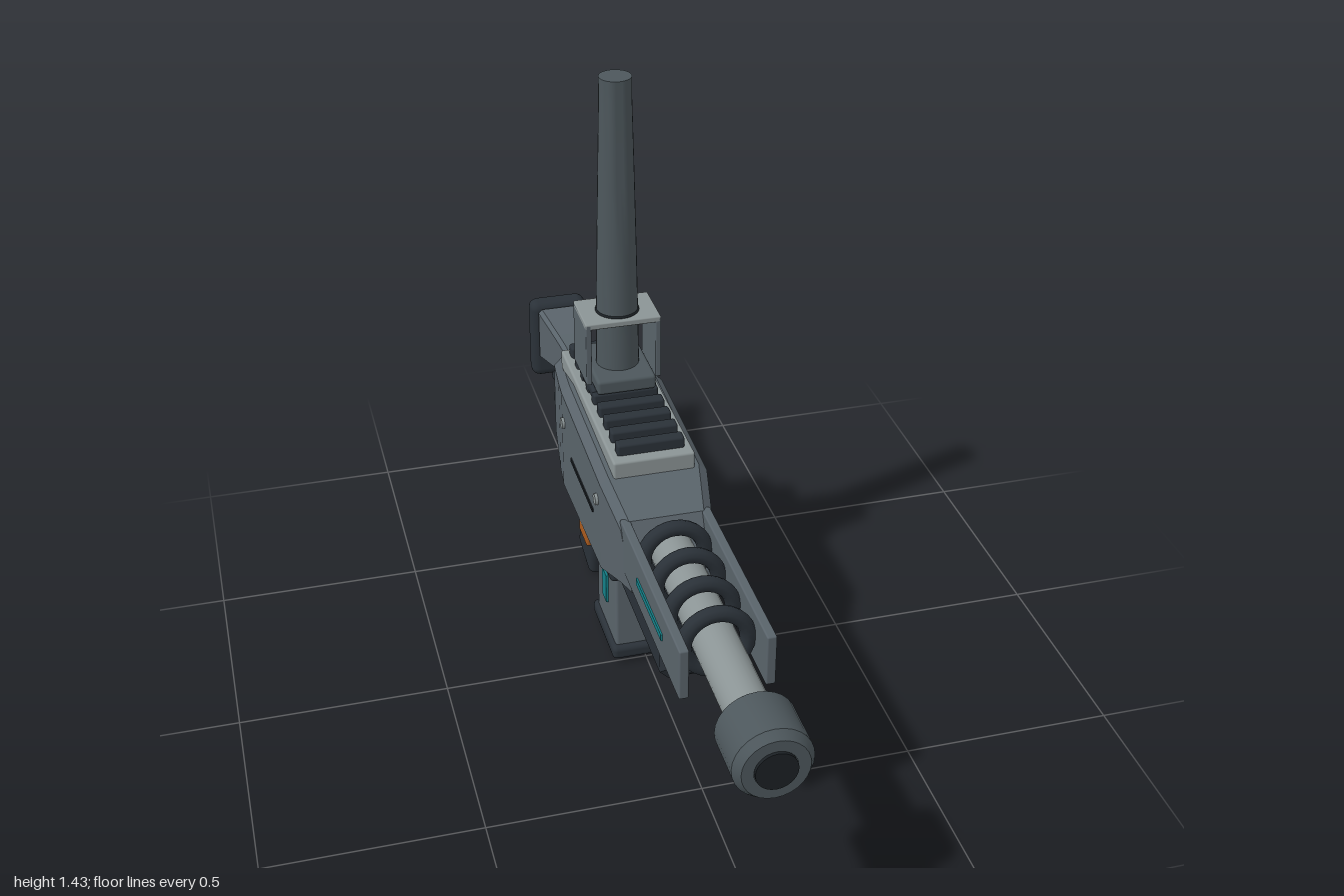
import * as THREE from 'three';
import { toCreasedNormals } from 'three/addons/utils/BufferGeometryUtils.js';
import { RoundedBoxGeometry } from 'three/addons/geometries/RoundedBoxGeometry.js';

const mat = (name, color) => new THREE.MeshStandardMaterial({ name, color });

export function createModel() {
  const root = new THREE.Group();
  root.name = 'rifle';
  const M = {
    body: mat('gunmetal', 0x59636a),
    tube: mat('blued steel', 0x4d575c),
    light: mat('light steel', 0x8b9495),
    dark: mat('dark polymer', 0x2a3138),
    bore: mat('bore black', 0x1b2024),
    teal: mat('teal light', 0x148088),
    orange: mat('orange switch', 0xa85a1e),
  };

  const add = (name, geo, m, x = 0, y = 0, z = 0, rx = 0) => {
    const mesh = new THREE.Mesh(geo, m);
    mesh.name = name;
    mesh.position.set(x, y, z);
    mesh.rotation.x = rx;
    root.add(mesh);
    return mesh;
  };
  // Box given by its limits on each axis
  const box = (name, m, [x0, x1], [y0, y1], [z0, z1], r = 0) => {
    const s = [x1 - x0, y1 - y0, z1 - z0];
    const g = r ? new RoundedBoxGeometry(...s, 2, r) : new THREE.BoxGeometry(...s);
    return add(name, g, m, (x0 + x1) / 2, (y0 + y1) / 2, (z0 + z1) / 2);
  };
  const lathe = (pts, seg = 28) => toCreasedNormals(
    new THREE.LatheGeometry(pts.map(([r, y]) => new THREE.Vector2(r, y)), seg), 0.6);
  // Cylinder lying across the model
  const pin = (name, m, r, len, x, y, z) => {
    const p = add(name, new THREE.CylinderGeometry(r, r, len, 14), m, x, y, z);
    p.rotation.z = Math.PI / 2;
    return p;
  };
  // Chamfered cross-sections [z, bottom, top, half width], listed front to back
  const loft = (sections, c) => {
    const rings = sections.map(([z, b, t, w]) => {
      const k = Math.min(c, (t - b) * 0.3);
      return [[w, b + k], [w, t - k], [w - k, t], [k - w, t], [-w, t - k], [-w, b + k], [k - w, b], [w - k, b]]
        .map(([x, y]) => [x, y, z]);
    });
    const v = [];
    const tri = (...p) => p.forEach((q) => v.push(...q));
    for (let s = 0; s < rings.length - 1; s++) {
      for (let i = 0; i < 8; i++) {
        const j = (i + 1) % 8, A = rings[s], B = rings[s + 1];
        tri(A[i], B[i], A[j]);
        tri(A[j], B[i], B[j]);
      }
    }
    const F = rings[0], E = rings[rings.length - 1];
    for (let i = 1; i < 7; i++) {
      tri(F[0], F[i], F[i + 1]);
      tri(E[0], E[i + 1], E[i]);
    }
    const g = new THREE.BufferGeometry();
    g.setAttribute('position', new THREE.Float32BufferAttribute(v, 3));
    g.computeVertexNormals();
    return g;
  };

  // Receiver and stock
  add('receiver', loft([
    [0.25, 0.385, 0.425, 0.10], [0.185, 0.36, 0.545, 0.108], [0.07, 0.325, 0.597, 0.128],
    [-0.33, 0.306, 0.614, 0.128], [-0.40, 0.306, 0.60, 0.12], [-0.545, 0.335, 0.57, 0.10],
  ], 0.02), M.body);
  add('stock', loft([
    [-0.54, 0.405, 0.497, 0.047], [-0.73, 0.40, 0.49, 0.036], [-0.80, 0.38, 0.492, 0.042], [-0.93, 0.35, 0.505, 0.06],
  ], 0.01), M.body);
  box('buttPad', M.dark, [-0.078, 0.078], [0.285, 0.515], [-1, -0.942], 0.024);

  // Barrel, cooling rings and muzzle
  add('barrel', new THREE.CylinderGeometry(0.05, 0.05, 0.72, 28), M.light, 0, 0.483, 0.5, Math.PI / 2);
  add('muzzle', lathe([[0.045, 0], [0.075, 0], [0.086, 0.012], [0.086, 0.128], [0.072, 0.148],
    [0.046, 0.148], [0.046, 0.10], [0, 0.10]]), M.tube, 0, 0.483, 0.845, Math.PI / 2);
  add('bore', new THREE.CylinderGeometry(0.045, 0.045, 0.05, 24), M.bore, 0, 0.483, 0.974, Math.PI / 2);
  for (let i = 0; i < 4; i++) {
    add('coolingRing', new THREE.TorusGeometry(0.071, 0.018, 10, 28), M.dark, 0, 0.487, 0.58 - i * 0.109);
  }

  // Side panels, light strips, seams and bolts on both sides
  for (const s of [-1, 1]) {
    const span = (a, b) => (s > 0 ? [a, b] : [-b, -a]);
    box('sidePanel', M.body, span(0.084, 0.106), [0.42, 0.545], [0.17, 0.67], 0.004);
    box('lightStrip', M.teal, span(0.102, 0.11), [0.478, 0.494], [0.33, 0.54]);
    box('seam', M.bore, span(0.122, 0.131), [0.457, 0.467], [-0.23, 0]);
    for (const z of [0.04, -0.31]) pin('bolt', M.light, 0.014, 0.02, s * 0.125, 0.52, z);
  }

  // Top rail
  box('railBase', M.light, [-0.097, 0.097], [0.585, 0.635], [-0.47, 0.078], 0.006);
  for (let i = 0; i < 9; i++) {
    const z = 0.034 - i * 0.0587;
    box('railTooth', M.dark, [-0.08, 0.08], [0.63, 0.662], [z - 0.016, z + 0.016], 0.006);
  }

  // Upright scope and its bracket
  box('mountFoot', M.dark, [-0.08, 0.08], [0.64, 0.668], [-0.34, -0.20], 0.008);
  box('mountBase', M.tube, [-0.072, 0.072], [0.665, 0.702], [-0.372, -0.175], 0.008);
  for (const s of [-1, 1]) {
    box('bracketSide', M.body, [s * 0.085 - 0.007, s * 0.085 + 0.007], [0.68, 0.842], [-0.337, -0.205], 0.003);
  }
  box('bracketTop', M.light, [-0.092, 0.092], [0.828, 0.843], [-0.337, -0.205], 0.003);
  add('scopeTube', lathe([[0, 0], [0.052, 0], [0.05, 0.14], [0.047, 0.3], [0.043, 0.48], [0.038, 0.68],
    [0.038, 0.73], [0, 0.73]]), M.tube, 0, 0.7, -0.27);
  add('scopeCollar', new THREE.TorusGeometry(0.047, 0.006, 8, 28), M.bore, 0, 0.843, -0.27, Math.PI / 2);

  // Foregrip with ribs below
  add('foregrip', loft([
    [0.465, 0.315, 0.39, 0.075], [0.445, 0.295, 0.405, 0.086], [0.10, 0.295, 0.405, 0.086], [0.075, 0.31, 0.395, 0.08],
  ], 0.02), M.dark);
  for (let i = 0; i < 5; i++) pin('foregripRib', M.tube, 0.013, 0.15, 0, 0.297, 0.38 - i * 0.064);

  // Magazine
  box('magazineWell', M.dark, [-0.095, 0.095], [0.263, 0.335], [-0.22, 0.03], 0.012);
  box('magazine', M.body, [-0.076, 0.076], [0.04, 0.28], [-0.19, 0], 0.008);
  box('magazineBase', M.dark, [-0.087, 0.087], [0.015, 0.052], [-0.203, 0.015], 0.013);
  box('magazineFoot', M.dark, [-0.06, 0.06], [0.003, 0.025], [-0.17, -0.02], 0.006);
  box('magazineWindow', M.teal, [-0.082, -0.074], [0.13, 0.21], [-0.115, -0.075]);
  box('safetySwitch', M.orange, [-0.128, -0.09], [0.302, 0.335], [-0.16, -0.08], 0.006);

  // Grip, tilted back, with ribs on its rear face
  const grip = add('grip', new RoundedBoxGeometry(0.115, 0.29, 0.135, 3, 0.018), M.dark, 0, 0.158, -0.4, 0.225);
  for (let i = 0; i < 5; i++) {
    const rib = new THREE.Mesh(new RoundedBoxGeometry(0.09, 0.013, 0.018, 1, 0.004), M.dark);
    rib.name = 'gripRib';
    rib.position.set(0, 0.09 - i * 0.03, -0.068);
    grip.add(rib);
  }

  // Trigger and guard
  const path = (pts) => new THREE.CatmullRomCurve3(pts.map(([y, z]) => new THREE.Vector3(0, y, z)), false, 'catmullrom', 0.2);
  add('triggerGuard', new THREE.TubeGeometry(
    path([[0.32, -0.248], [0.165, -0.25], [0.148, -0.262], [0.12, -0.37]]), 24, 0.01, 8), M.light);
  add('trigger', new THREE.TubeGeometry(
    path([[0.32, -0.27], [0.27, -0.278], [0.225, -0.305]]), 12, 0.009, 8), M.dark);

  // Sling fittings
  for (const [y, z] of [[0.306, -0.495], [0.352, -0.825]]) {
    pin('slingBoss', M.tube, 0.026, 0.06, 0, y, z);
    add('slingRing', new THREE.TorusGeometry(0.028, 0.011, 8, 18), M.dark, -0.01, y, z, Math.PI / 2 - 0.2);
  }
  const link = add('slingLink', new RoundedBoxGeometry(0.05, 0.065, 0.042, 2, 0.01), M.dark, -0.03, 0.307, -0.756, -0.5);
  link.rotation.order = 'YXZ';

  return root;
}
